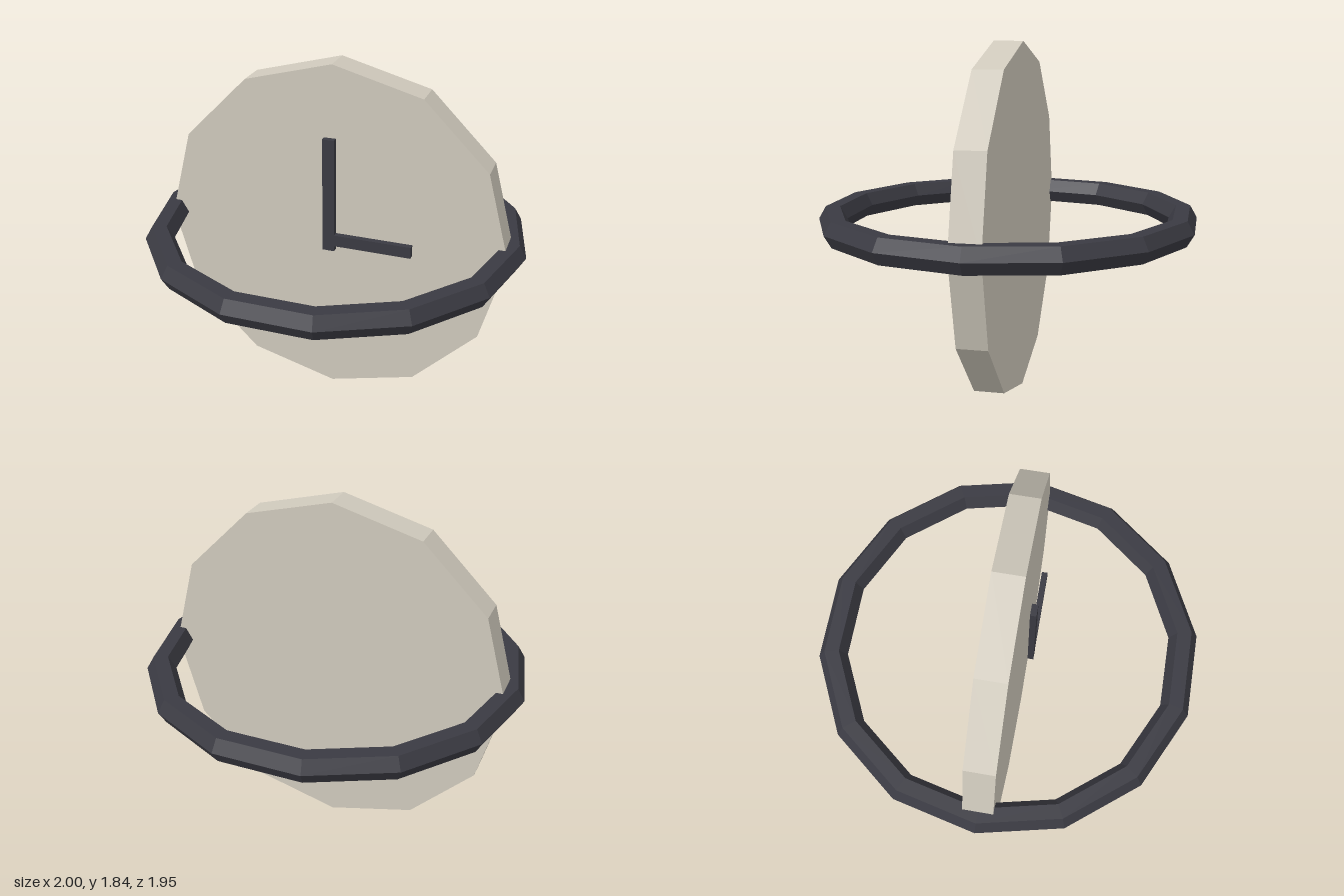
import * as THREE from 'three';

const CENTRE_Y = 0.925;

export function createModel() {
  const model = new THREE.Group();
  model.name = 'ringedClock';

  const stone = new THREE.MeshStandardMaterial({ color: 0xcfc9bc, flatShading: true });
  stone.name = 'warm grey';
  const dark = new THREE.MeshStandardMaterial({ color: 0x3a3a42, flatShading: true });
  dark.name = 'charcoal';

  const add = (name, geometry, material, x, y, z) => {
    const mesh = new THREE.Mesh(geometry, material);
    mesh.name = name;
    mesh.position.set(x, y, z);
    model.add(mesh);
  };

  // Upright twelve-sided clock face
  const face = new THREE.CylinderGeometry(0.922, 0.922, 0.155, 12).rotateX(Math.PI / 2);
  add('clockFace', face, stone, 0, CENTRE_Y, 0);

  // Level ring with a hexagonal section and fourteen segments
  const ring = new THREE.TorusGeometry(0.925, 0.075, 6, 14).rotateX(Math.PI / 2);
  add('ring', ring, dark, 0, CENTRE_Y, 0);

  // Clock hands, floating just in front of the face
  add('minuteHand', new THREE.BoxGeometry(0.062, 0.615, 0.031), dark, 0, 1.172, 0.123);
  add('hourHand', new THREE.BoxGeometry(0.47, 0.062, 0.031), dark, 0.205, CENTRE_Y, 0.123);

  return model;
}
